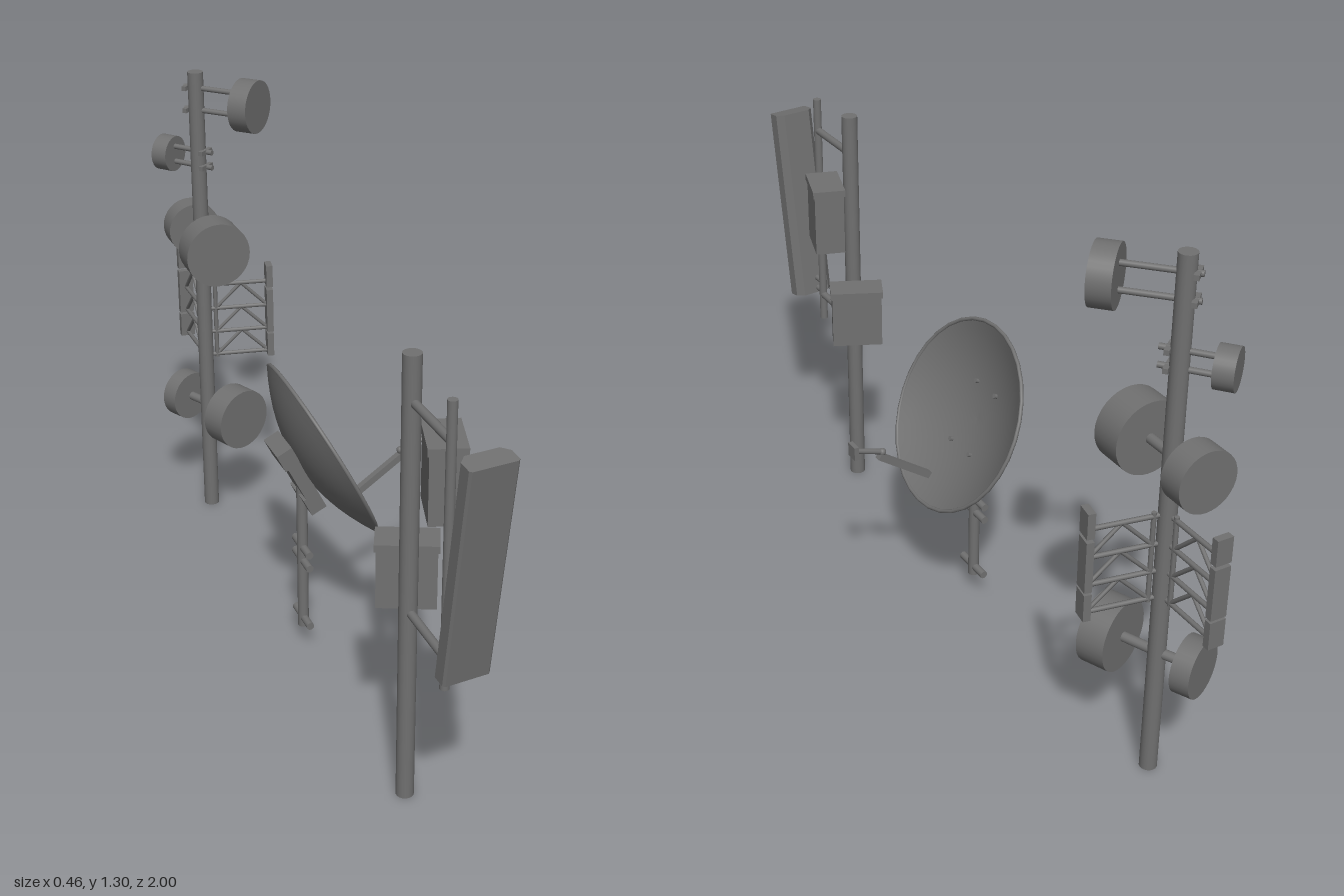
import * as THREE from 'three';

const steel = new THREE.MeshStandardMaterial({ color: 0x707070 });
steel.name = 'grey steel';

const V = (x, y, z) => new THREE.Vector3(x, y, z);

function add(parent, geo, name, pos = [0, 0, 0]) {
  const m = new THREE.Mesh(geo, steel);
  m.name = name;
  m.position.set(...pos);
  parent.add(m);
  return m;
}

function group(parent, name, pos = [0, 0, 0], yaw = 0) {
  const g = new THREE.Group();
  g.name = name;
  g.position.set(...pos);
  g.rotation.y = yaw;
  parent.add(g);
  return g;
}

// round bar between two points
function bar(parent, a, b, r, name, sides = 14) {
  const d = b.clone().sub(a);
  const m = add(parent, new THREE.CylinderGeometry(r, r, d.length(), sides), name);
  m.position.copy(a).addScaledVector(d, 0.5);
  m.quaternion.setFromUnitVectors(V(0, 1, 0), d.normalize());
  return m;
}

const box = (parent, size, name, pos) => add(parent, new THREE.BoxGeometry(...size), name, pos);

// front pole with tilted panel antenna and two equipment boxes
function sectorSite(root) {
  const g = group(root, 'panelAntennaSite');
  const x = -0.118;
  bar(g, V(x, 0, 0.65), V(x, 1.096, 0.65), 0.021, 'mainPole', 18);
  bar(g, V(x, 0.415, 0.845), V(x, 1.08, 0.845), 0.011, 'antennaPole');
  for (const y of [0.49, 0.99]) bar(g, V(x, y, 0.65), V(x, y, 0.845), 0.01, 'standoffArm');

  // chamfered panel section, front towards -y of the shape
  const w = 0.056, d = 0.026, b = 0.017, f = 0.005;
  const s = new THREE.Shape([
    [-w + f, -d], [w - f, -d], [w, -d + f], [w, d - b],
    [w - b, d], [-w + b, d], [-w, d - b], [-w, -d + f],
  ].map(p => new THREE.Vector2(...p)));
  const len = 0.53;
  const geo = new THREE.ExtrudeGeometry(s, { depth: len, bevelEnabled: false });
  geo.translate(0, 0, -len / 2).rotateX(-Math.PI / 2);
  const panel = add(g, geo, 'panelAntenna', [-0.102, 0.746, 0.932]);
  panel.rotation.set(0.14, 0.105, 0, 'YXZ');
  for (const y of [0.5, 0.53]) bar(g, V(x, y, 0.845), V(x + 0.003, y, 0.885), 0.008, 'panelHinge');

  // equipment boxes with overhanging lids
  const cabinet = (name, pos, yaw, sx, sy, sz) => {
    const c = group(g, name, pos, yaw);
    box(c, [sx - 0.008, sy - 0.004, sz - 0.008], 'cabinetBody', [0, -0.002, 0]);
    box(c, [sx, 0.018, sz], 'cabinetLid', [0, sy / 2 - 0.009, 0]);
  };
  cabinet('upperCabinet', [-0.053, 0.823, 0.673], -0.3, 0.086, 0.181, 0.138);
  cabinet('lowerCabinet', [-0.093, 0.55, 0.583], -0.42, 0.142, 0.16, 0.081);
}

// offset satellite dish facing +x
function dishSite(root) {
  const g = group(root, 'satelliteDishSite');
  const x = -0.118, z = -0.018;
  bar(g, V(x, 0.048, z), V(x, 0.46, z), 0.014, 'dishPole');
  for (const y of [0.072, 0.242, 0.28])
    bar(g, V(x, y, z - 0.053), V(x, y, z + 0.053), 0.01, 'clampBar');

  const dish = group(g, 'dish', [-0.058, 0.549, z - 0.004]);
  dish.rotation.z = -1.11;
  const R = 0.244, depth = 0.07, t = 0.008;
  const curve = off => Array.from({ length: 9 }, (_, i) =>
    new THREE.Vector2(R * i / 8, depth * ((i / 8) ** 2 - 1) - off));
  add(dish, new THREE.LatheGeometry(curve(0).reverse(), 32), 'dishFront');
  add(dish, new THREE.LatheGeometry(curve(t), 32), 'dishBack');
  const rim = add(dish, new THREE.TorusGeometry(R - 0.002, 0.005, 8, 32), 'dishRim', [0, -t / 2, 0]);
  rim.rotation.x = Math.PI / 2;

  // back bracket and bolts, in the dish's own axes (-x is up along the dish)
  box(dish, [0.2, 0.035, 0.1], 'backPlate', [0.02, -0.09, 0]);
  for (const s of [-1, 1]) box(dish, [0.05, 0.03, 0.1], 'bracketBlock', [0.02 + s * 0.075, -0.1, 0]);
  for (const u of [-0.082, 0.082]) for (const v of [-0.045, 0.045])
    add(dish, new THREE.CylinderGeometry(0.006, 0.006, 0.014, 8), 'bolt', [u, -0.058, v]);

  // feed arm and receiver
  const arm = box(g, [0.168, 0.017, 0.017], 'feedArm', [0.088, 0.445, z - 0.004]);
  arm.rotation.z = 0.6;
  bar(g, V(0.142, 0.5, z - 0.004), V(0.224, 0.526, z - 0.004), 0.007, 'receiverNeck', 10);
  add(g, new THREE.SphereGeometry(0.01, 12, 8), 'armJoint', [0.148, 0.501, z - 0.004]);
  box(g, [0.012, 0.035, 0.034], 'receiverHead', [0.225, 0.526, z - 0.004]);
}

// rear mast with drum antennas and two lattice arms
function mastSite(root) {
  const g = group(root, 'drumMast', [-0.12, 0, -0.807]);
  bar(g, V(0, 0, 0), V(0, 1.297, 0), 0.021, 'mast', 18);

  // [height, yaw, distance, radius, thickness, bar offsets, bar tail]
  const drums = [
    [1.224, 0.75, 0.16, 0.07, 0.053, [-0.03, 0.03], 0.035],
    [1.06, Math.PI + 0.68, 0.098, 0.048, 0.045, [-0.021, 0.021], 0.045],
    [0.834, 0, 0.117, 0.088, 0.08, [0], 0],
    [0.834, Math.PI, 0.091, 0.073, 0.062, [0], 0],
    [0.326, 0.4, 0.122, 0.086, 0.07, [0], 0],
    [0.326, Math.PI + 0.45, 0.09, 0.069, 0.047, [0], 0],
  ];
  for (const [y, yaw, dist, r, t, offs, tail] of drums) {
    const d = group(g, 'drumAntenna', [0, y, 0], yaw);
    const drum = add(d, new THREE.CylinderGeometry(r, r, t, 32), 'drum', [0, 0, dist]);
    drum.rotation.x = Math.PI / 2;
    for (const o of offs) {
      bar(d, V(0, o, -tail), V(0, o, dist), offs.length > 1 ? 0.007 : 0.012, 'drumArm');
      if (tail) box(d, [0.05, 0.012, 0.012], 'mastClamp', [0, o, -0.023]);
    }
  }

  // lattice arms, each reaching out along its own +z
  const levels = [0.478, 0.548, 0.618, 0.69];
  for (const yaw of [Math.PI, 1.395]) {
    const a = group(g, 'latticeArm', [0, 0, 0], yaw);
    const L = 0.178;
    bar(a, V(0, 0.47, 0.032), V(0, 0.7, 0.032), 0.006, 'innerUpright', 8);
    levels.forEach((y, i) => {
      bar(a, V(0, y, 0), V(0, y, L), 0.006, 'latticeRail', 8);
      if (i === 3) return;
      const h = levels[i + 1], mid = (0.032 + L) / 2;
      bar(a, V(0, y, 0.032), V(0, h, mid), 0.005, 'latticeBrace', 8);
      bar(a, V(0, h, mid), V(0, y, L), 0.005, 'latticeBrace', 8);
    });
    for (const [lo, hi] of [[0.467, 0.535], [0.541, 0.668], [0.677, 0.74]])
      box(a, [0.04, hi - lo, 0.018], 'endPlate', [0, (lo + hi) / 2, 0.184]);
  }
}

export function createModel() {
  const root = new THREE.Group();
  root.name = 'antennaSet';
  sectorSite(root);
  dishSite(root);
  mastSite(root);
  return root;
}
